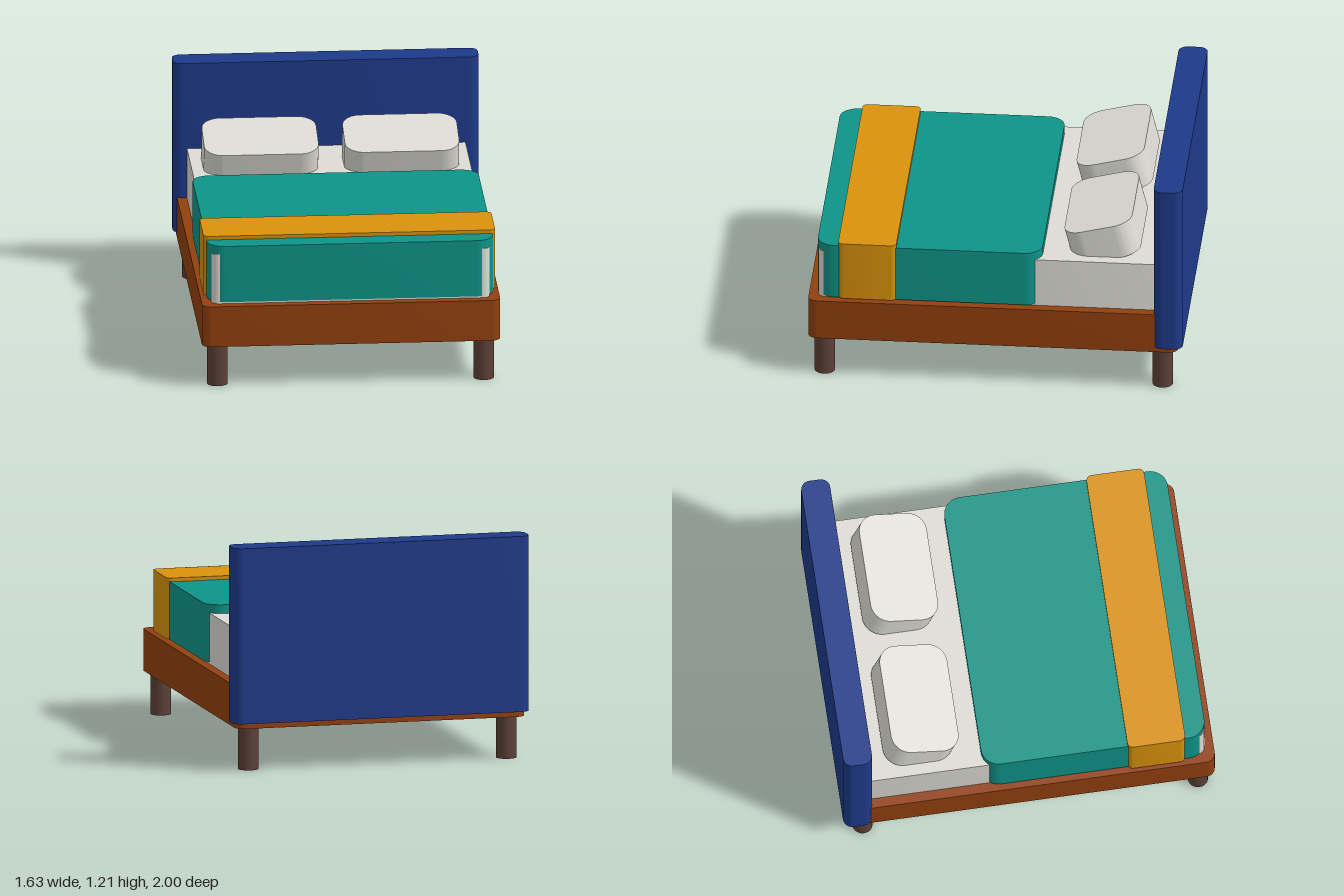
import * as THREE from 'three';
import { toCreasedNormals } from 'three/addons/utils/BufferGeometryUtils.js';

function material(name, color) {
  const m = new THREE.MeshStandardMaterial({ color });
  m.name = name;
  return m;
}

// Flat block with rounded vertical corners, centred on its own middle
function slabGeometry(width, height, depth, radius) {
  const x = width / 2, z = depth / 2, r = radius;
  const s = new THREE.Shape();
  s.moveTo(-x + r, -z);
  s.lineTo(x - r, -z);
  s.absarc(x - r, -z + r, r, -Math.PI / 2, 0);
  s.lineTo(x, z - r);
  s.absarc(x - r, z - r, r, 0, Math.PI / 2);
  s.lineTo(-x + r, z);
  s.absarc(-x + r, z - r, r, Math.PI / 2, Math.PI);
  s.lineTo(-x, -z + r);
  s.absarc(-x + r, -z + r, r, Math.PI, Math.PI * 1.5);
  const g = new THREE.ExtrudeGeometry(s, { depth: height, bevelEnabled: false, curveSegments: 10 });
  g.rotateX(-Math.PI / 2);
  g.translate(0, -height / 2, 0);
  return toCreasedNormals(g, 0.6);
}

export function createModel() {
  const bed = new THREE.Group();
  bed.name = 'bed';

  const wood = material('warm wood', 0x92400e);
  const darkWood = material('dark wood', 0x5d4037);
  const navy = material('navy upholstery', 0x1e3a8a);
  const linen = material('off-white linen', 0xdddcd4);
  const teal = material('teal blanket', 0x0d9488);
  const ochre = material('ochre throw', 0xd9920b);

  function add(name, geometry, mat, x, y, z) {
    const mesh = new THREE.Mesh(geometry, mat);
    mesh.name = name;
    mesh.position.set(x, y, z);
    bed.add(mesh);
    return mesh;
  }

  // Slab centred on x, given by its y and z ranges
  function slab(name, mat, width, y0, y1, z0, z1, radius) {
    return add(name, slabGeometry(width, y1 - y0, z1 - z0, radius), mat, 0, (y0 + y1) / 2, (z0 + z1) / 2);
  }

  // Base, headboard and bedding
  slab('frame', wood, 1.59, 0.23, 0.455, -0.975, 1, 0.05);
  slab('headboard', navy, 1.63, 0.26, 1.207, -1, -0.845, 0.05);
  slab('mattress', linen, 1.485, 0.45, 0.73, -0.87, 0.95, 0.04);
  slab('blanket', teal, 1.525, 0.465, 0.777, -0.245, 0.955, 0.095);
  slab('throw', ochre, 1.555, 0.467, 0.797, 0.53, 0.84, 0.03);

  // Pillows leaning towards the headboard
  const pillowGeometry = slabGeometry(0.61, 0.19, 0.373, 0.1);
  for (const side of [-1, 1]) {
    const pillow = add(side > 0 ? 'leftPillow' : 'rightPillow', pillowGeometry, linen, side * 0.375, 0.803, -0.557);
    pillow.rotation.x = 0.245;
  }

  // Legs
  const legGeometry = new THREE.CylinderGeometry(0.055, 0.055, 0.235, 24);
  for (const side of [-1, 1]) {
    for (const z of [0.915, -0.888]) {
      add((z > 0 ? 'front' : 'back') + (side > 0 ? 'Left' : 'Right') + 'Leg', legGeometry, darkWood, side * 0.71, 0.1175, z);
    }
  }

  return bed;
}
